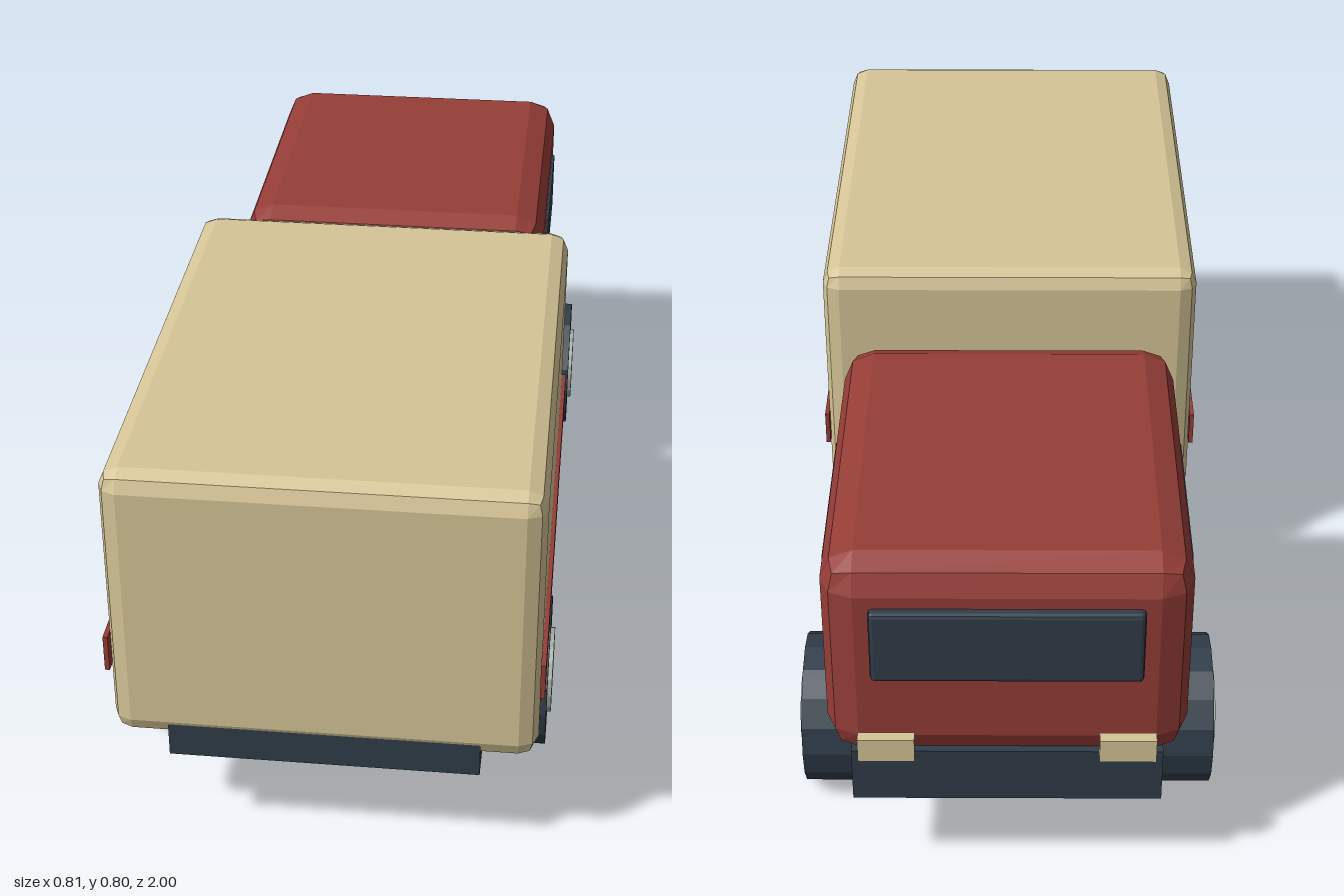
import * as THREE from 'three';
import { RoundedBoxGeometry } from 'three/addons/geometries/RoundedBoxGeometry.js';

const material = (name, color) => {
  const m = new THREE.MeshStandardMaterial({ color, flatShading: true });
  m.name = name;
  return m;
};

export function createModel() {
  const cream = material('cream', 0xd6c597);
  const red = material('red', 0x963d37);
  const dark = material('darkSlate', 0x303d49);
  const grey = material('hubGrey', 0xa2aca4);
  const truck = new THREE.Group();
  truck.name = 'truck';

  const add = (name, geometry, mat) => {
    const mesh = new THREE.Mesh(geometry, mat);
    mesh.name = name;
    truck.add(mesh);
    return mesh;
  };

  // Box given by its extents; a radius chamfers every edge in two facets
  const block = (name, mat, [x0, x1], [y0, y1], [z0, z1], radius = 0) => {
    const size = [x1 - x0, y1 - y0, z1 - z0];
    const geometry = radius
      ? new RoundedBoxGeometry(...size, 1, radius)
      : new THREE.BoxGeometry(...size);
    add(name, geometry, mat).position.set((x0 + x1) / 2, (y0 + y1) / 2, (z0 + z1) / 2);
  };

  // Upright disc with its axis along x
  const disc = (name, mat, radius, x0, x1, z) => {
    const geometry = new THREE.CylinderGeometry(radius, radius, Math.abs(x1 - x0), 16);
    geometry.rotateZ(Math.PI / 2);
    add(name, geometry, mat).position.set((x0 + x1) / 2, 0.147, z);
  };

  // Body
  block('chassis', dark, [-0.285, 0.285], [0.2, 0.315], [-0.967, 0.997]);
  block('cargoBox', cream, [-0.388, 0.388], [0.24, 0.797], [-0.06, 1], 0.035);
  block('cab', red, [-0.33, 0.33], [0.295, 0.728], [-0.968, -0.195], 0.06);
  block('windshield', dark, [-0.243, 0.243], [0.495, 0.645], [-0.988, -0.96], 0.008);

  // Paired parts
  for (const [side, s] of [['left', 1], ['right', -1]]) {
    const span = (a, b) => (s > 0 ? [a, b] : [-b, -a]);
    block(side + 'Stripe', red, span(0.387, 0.396), [0.378, 0.45], [-0.05, 0.99]);
    block(side + 'Window', dark, span(0.328, 0.336), [0.505, 0.635], [-0.802, -0.437]);
    block(side + 'Headlight', cream, span(0.167, 0.27), [0.32, 0.37], [-1, -0.978]);
    for (const [end, z] of [['front', -0.645], ['rear', 0.6]]) {
      disc(`${side}${end}Tire`, dark, 0.147, s * 0.275, s * 0.397, z);
      disc(`${side}${end}Hub`, grey, 0.084, s * 0.39, s * 0.405, z);
    }
  }
  return truck;
}
